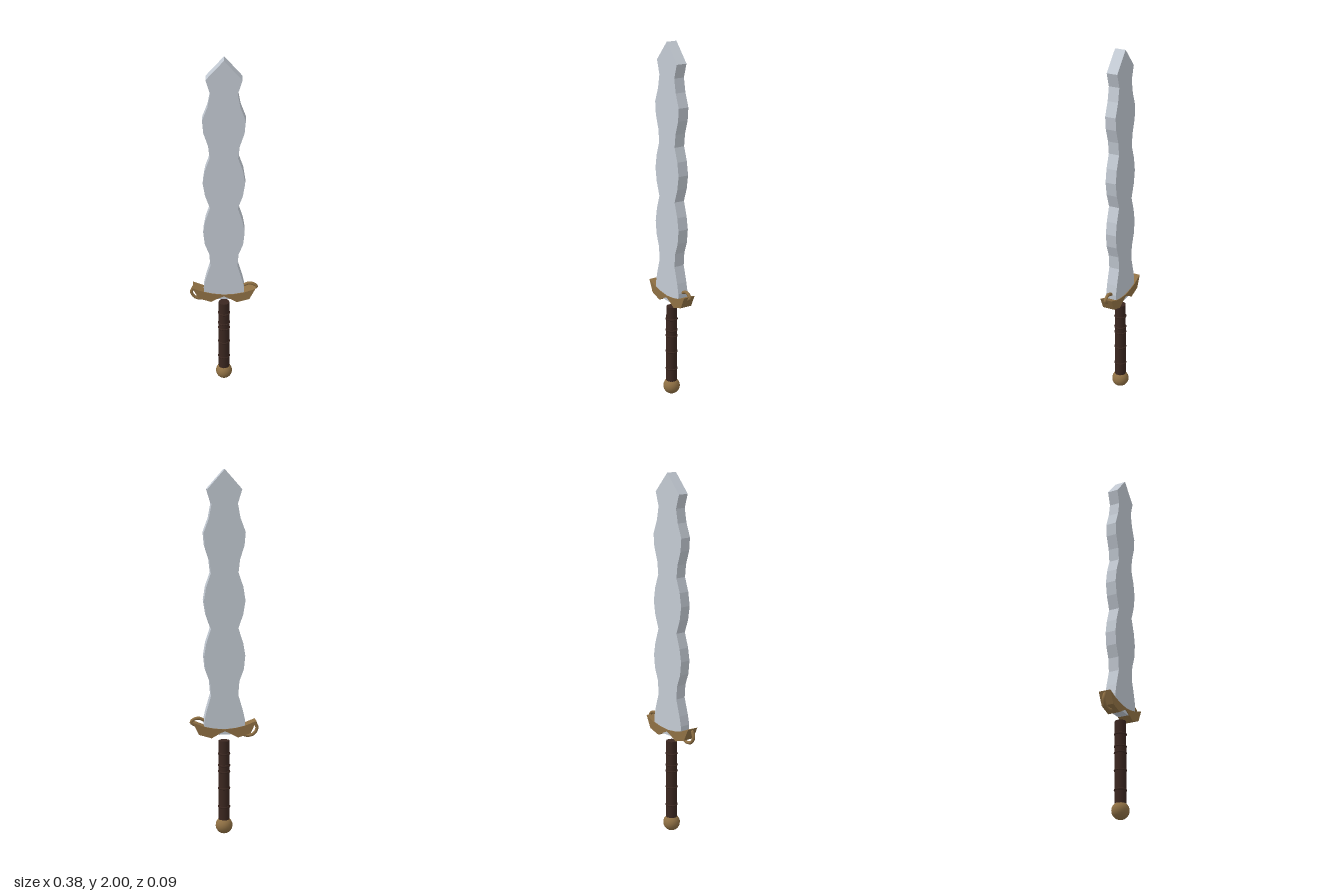
import * as THREE from 'three';

const mat = (color) => new THREE.MeshStandardMaterial({ color, flatShading: true });
const smooth = (color) => new THREE.MeshStandardMaterial({ color });

// Flat plate from a right-hand outline (top to bottom), mirrored in x
function mirroredPlate(half, depth, material) {
  const left = half.filter(([x]) => x > 0).reverse().map(([x, y]) => [-x, y]);
  const shape = new THREE.Shape([...half, ...left].map(([x, y]) => new THREE.Vector2(x, y)));
  const geo = new THREE.ExtrudeGeometry(shape, { depth, bevelEnabled: false });
  geo.translate(0, 0, -depth / 2);
  return new THREE.Mesh(geo, material);
}

export function createModel() {
  const sword = new THREE.Group();
  const add = (name, mesh, y = 0) => {
    mesh.name = name;
    mesh.position.y = y;
    sword.add(mesh);
    return mesh;
  };
  const gold = 0x8f7044;

  // Wavy blade
  add('blade', mirroredPlate([
    [0, 2], [0.093, 1.895], [0.07, 1.82], [0.084, 1.745], [0.112, 1.67], [0.106, 1.6],
    [0.082, 1.525], [0.074, 1.455], [0.1, 1.38], [0.112, 1.305], [0.1, 1.23], [0.074, 1.155],
    [0.1, 1.075], [0.112, 1.005], [0.104, 0.93], [0.08, 0.865], [0.074, 0.79], [0.1, 0.7],
    [0.112, 0.645], [0.11, 0.6], [0.03, 0.57],
  ], 0.06, mat(0xc3cad3)));

  // Winged crossguard
  add('guard', mirroredPlate([
    [0, 0.6], [0.06, 0.606], [0.11, 0.617], [0.174, 0.642],
    [0.142, 0.574], [0.072, 0.552], [0.03, 0.576], [0, 0.59],
  ], 0.068, mat(gold)));

  // Curls: the left one sweeps below the guard, the right one above it
  const curls = {
    rightCurl: [[-0.172, 0.625], [-0.182, 0.595], [-0.163, 0.563], [-0.13, 0.554], [-0.095, 0.566]],
    leftCurl: [[0.16, 0.622], [0.181, 0.638], [0.165, 0.654], [0.138, 0.659], [0.112, 0.648]],
  };
  for (const [name, pts] of Object.entries(curls)) {
    const path = new THREE.CatmullRomCurve3(pts.map(([x, y]) => new THREE.Vector3(x, y, 0)));
    const curl = new THREE.Group();
    curl.add(new THREE.Mesh(new THREE.TubeGeometry(path, 16, 0.009, 8), smooth(gold)));
    // Rounded ends
    for (const t of [0, 1]) {
      const cap = new THREE.Mesh(new THREE.SphereGeometry(0.009, 8, 6), smooth(gold));
      cap.position.copy(path.getPoint(t));
      curl.add(cap);
    }
    add(name, curl);
  }

  // Grip with raised bands
  const leather = smooth(0x3b2720);
  add('grip', new THREE.Mesh(new THREE.CylinderGeometry(0.03, 0.031, 0.45, 16), leather), 0.305);
  for (const y of [0.155, 0.26, 0.355, 0.39, 0.457]) {
    const band = add('gripBand', new THREE.Mesh(new THREE.TorusGeometry(0.03, 0.005, 6, 16), leather), y);
    band.rotation.x = Math.PI / 2;
  }

  // Ball pommel
  add('pommel', new THREE.Mesh(new THREE.SphereGeometry(0.047, 20, 14), smooth(gold)), 0.047);

  return sword;
}
